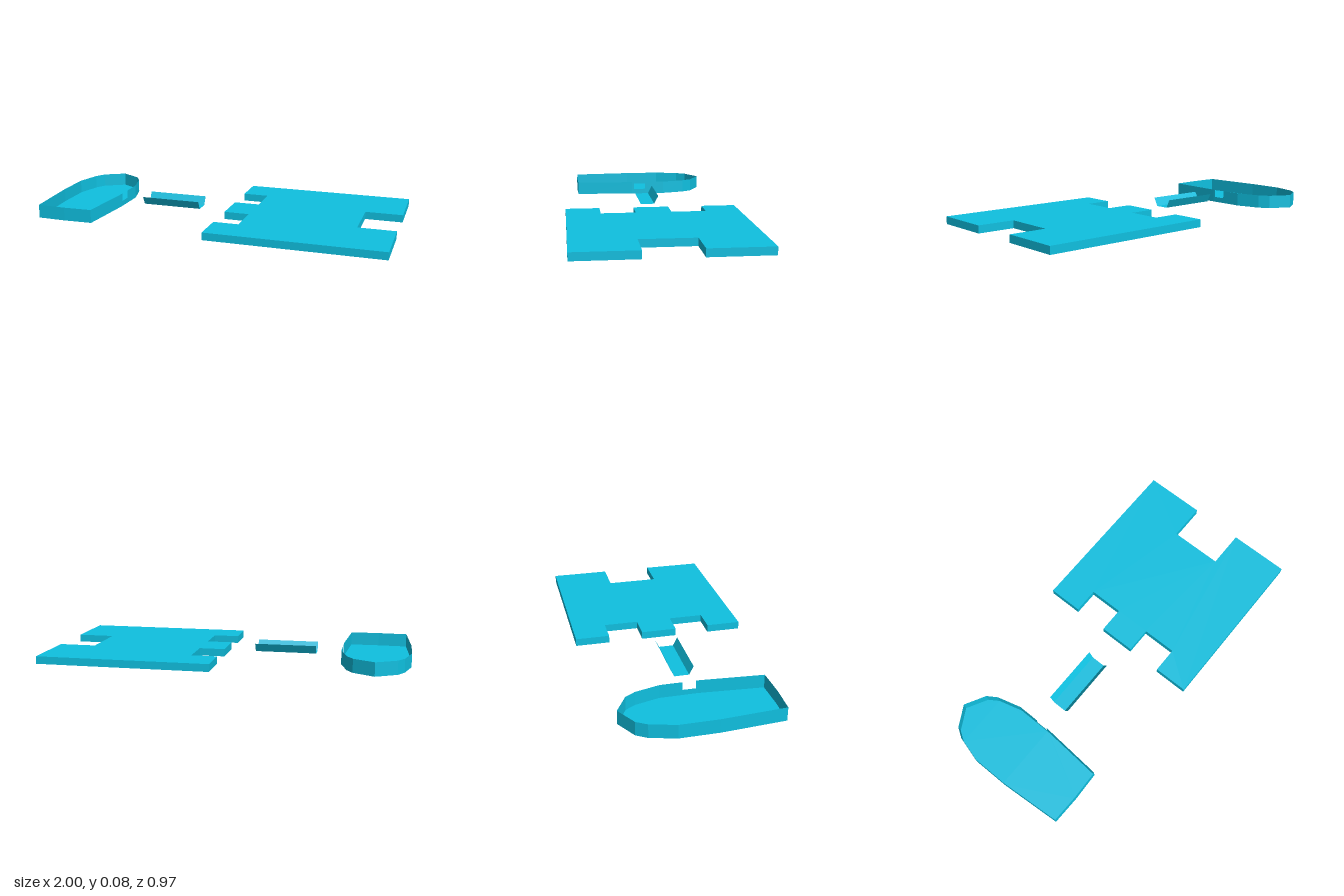
import * as THREE from 'three';

const material = new THREE.MeshStandardMaterial({ color: 0x0fc0e0, side: THREE.DoubleSide, flatShading: true });

function addMesh(parent, name, geometry) {
  const mesh = new THREE.Mesh(geometry, material);
  mesh.name = name;
  parent.add(mesh);
}

// Flat horizontal sheet from an [x, z] outline.
function sheet(outline, y) {
  const shape = new THREE.Shape(outline.map(([x, z]) => new THREE.Vector2(x, -z)));
  return new THREE.ShapeGeometry(shape).rotateX(-Math.PI / 2).translate(0, y, 0);
}

// Upright wall around an [x, z] outline; topAt gives the height of each segment.
function wall(outline, bottom, topAt) {
  const pos = [];
  outline.forEach(([x0, z0], i) => {
    const [x1, z1] = outline[(i + 1) % outline.length];
    const top = topAt((x0 + x1) / 2, (z0 + z1) / 2);
    pos.push(x0, bottom, z0, x1, bottom, z1, x1, top, z1);
    pos.push(x0, bottom, z0, x1, top, z1, x0, top, z0);
  });
  const g = new THREE.BufferGeometry();
  g.setAttribute('position', new THREE.Float32BufferAttribute(pos, 3));
  g.computeVertexNormals();
  return g;
}

export function createModel() {
  const model = new THREE.Group();

  // Open boat-shaped tray with a notch in its inner side
  const tray = new THREE.Group();
  tray.name = 'hullTray';
  const cx = -0.812;
  const half = [[0.162, 0.395], [0.187, 0.05], [0.187, 0.035], [0.187, -0.035],
    [0.187, -0.155], [0.15, -0.29], [0.115, -0.345]];
  const hull = [
    [cx, 0.4],
    ...half.map(([w, z]) => [cx + w, z]),
    [cx, -0.409],
    ...half.slice().reverse().map(([w, z]) => [cx - w, z]),
  ];
  const hullTop = (x, z) => (x > cx && Math.abs(z) < 0.01 ? 0.03 : 0.075);
  addMesh(tray, 'hullFloor', sheet(hull, 0));
  addMesh(tray, 'hullWall', wall(hull, 0, hullTop));
  model.add(tray);

  // Trough with flat floor and flared sides, open at both ends
  const profile = [[-0.064, 0.075], [-0.04, 0.028], [0.04, 0.028], [0.064, 0.075]];
  const trough = new THREE.PlaneGeometry(1, 1, 1, 3).toNonIndexed();
  const p = trough.attributes.position;
  for (let i = 0; i < p.count; i++) {
    const [z, y] = profile[Math.round((0.5 - p.getY(i)) * 3)];
    p.setXYZ(i, p.getX(i) < 0 ? -0.478 : -0.135, y, z);
  }
  trough.computeVertexNormals();
  addMesh(model, 'trough', trough);

  // Deck: top plate with a skirt, hollow beneath
  const deck = new THREE.Group();
  deck.name = 'deck';
  const side = [[0.035, 0.1], [0.178, 0.1], [0.178, 0.293], [0.035, 0.293],
    [0.035, 0.484], [0.998, 0.484], [0.998, 0.147], [0.79, 0.147]];
  const plan = [...side, ...side.slice().reverse().map(([x, z]) => [x, -z])];
  addMesh(deck, 'deckTop', sheet(plan, 0.044));
  addMesh(deck, 'deckSkirt', wall(plan, 0.002, () => 0.044));
  model.add(deck);

  return model;
}
